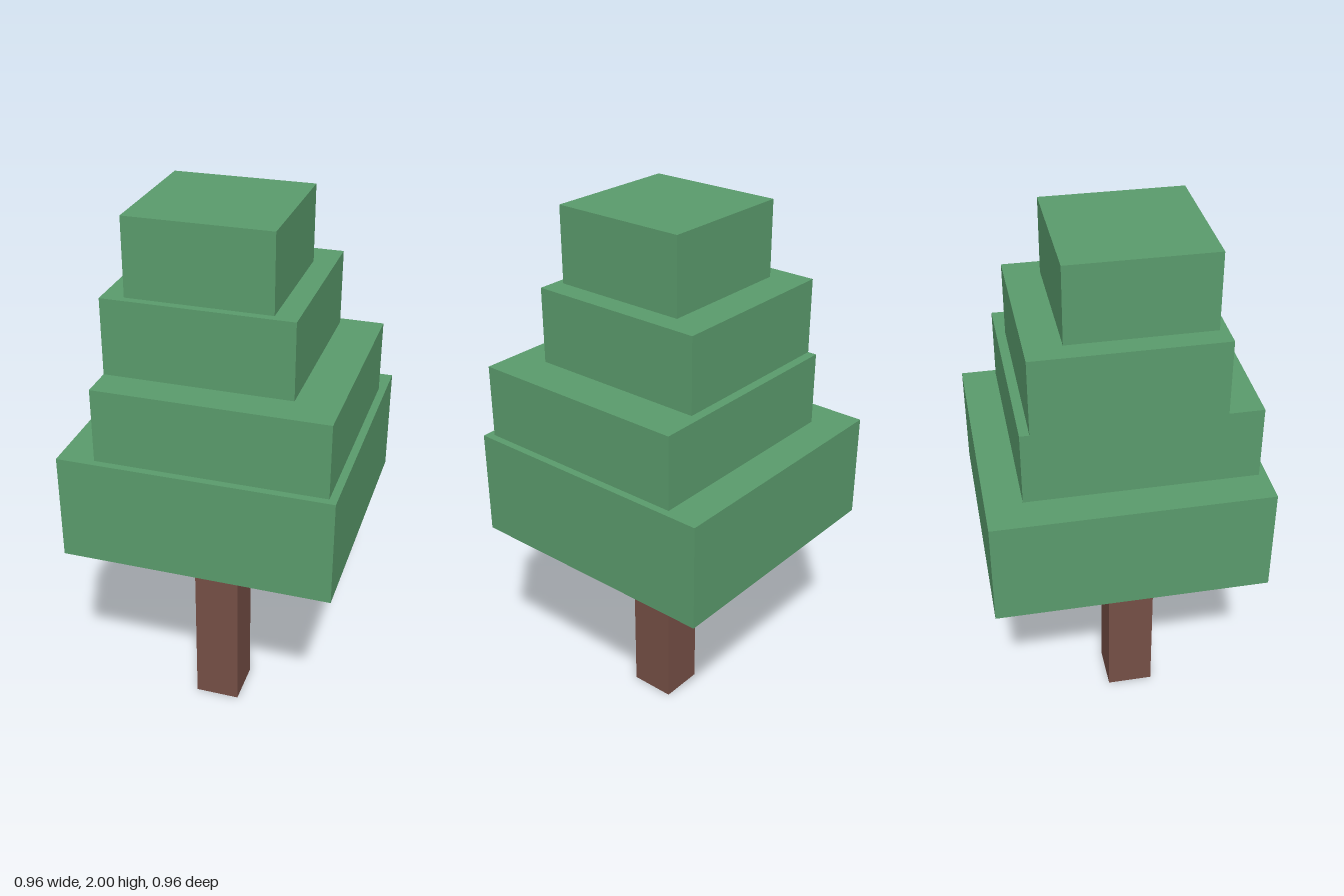
import * as THREE from 'three';

export function createModel() {
  const tree = new THREE.Group();
  tree.name = 'tree';

  const leafGreen = new THREE.MeshStandardMaterial({ color: 0x5a9b6c });
  leafGreen.name = 'leafGreen';
  const barkBrown = new THREE.MeshStandardMaterial({ color: 0x754f45 });
  barkBrown.name = 'barkBrown';

  // Adds a box spanning the given [min, max] ranges
  function addBlock(name, material, [x0, x1], [y0, y1], [z0, z1]) {
    const mesh = new THREE.Mesh(new THREE.BoxGeometry(x1 - x0, y1 - y0, z1 - z0), material);
    mesh.position.set((x0 + x1) / 2, (y0 + y1) / 2, (z0 + z1) / 2);
    mesh.name = name;
    tree.add(mesh);
  }

  // Trunk, and the branch end showing under the foliage
  addBlock('trunk', barkBrown, [-0.11, 0.058], [0, 0.81], [-0.017, 0.157]);
  addBlock('branchEnd', barkBrown, [0.203, 0.441], [0.806, 0.814], [0.06, 0.295]);

  // Stacked foliage tiers, slightly off centre: x, y and z ranges
  const tiers = [
    [[-0.48, 0.48], [0.81, 1.195], [-0.48, 0.48]],
    [[-0.353, 0.453], [1.195, 1.46], [-0.353, 0.453]],
    [[-0.353, 0.3], [1.46, 1.73], [-0.32, 0.332]],
    [[-0.278, 0.222], [1.73, 2], [-0.195, 0.304]],
  ];
  tiers.forEach((ranges, i) => addBlock(`foliageTier${i + 1}`, leafGreen, ...ranges));

  return tree;
}
